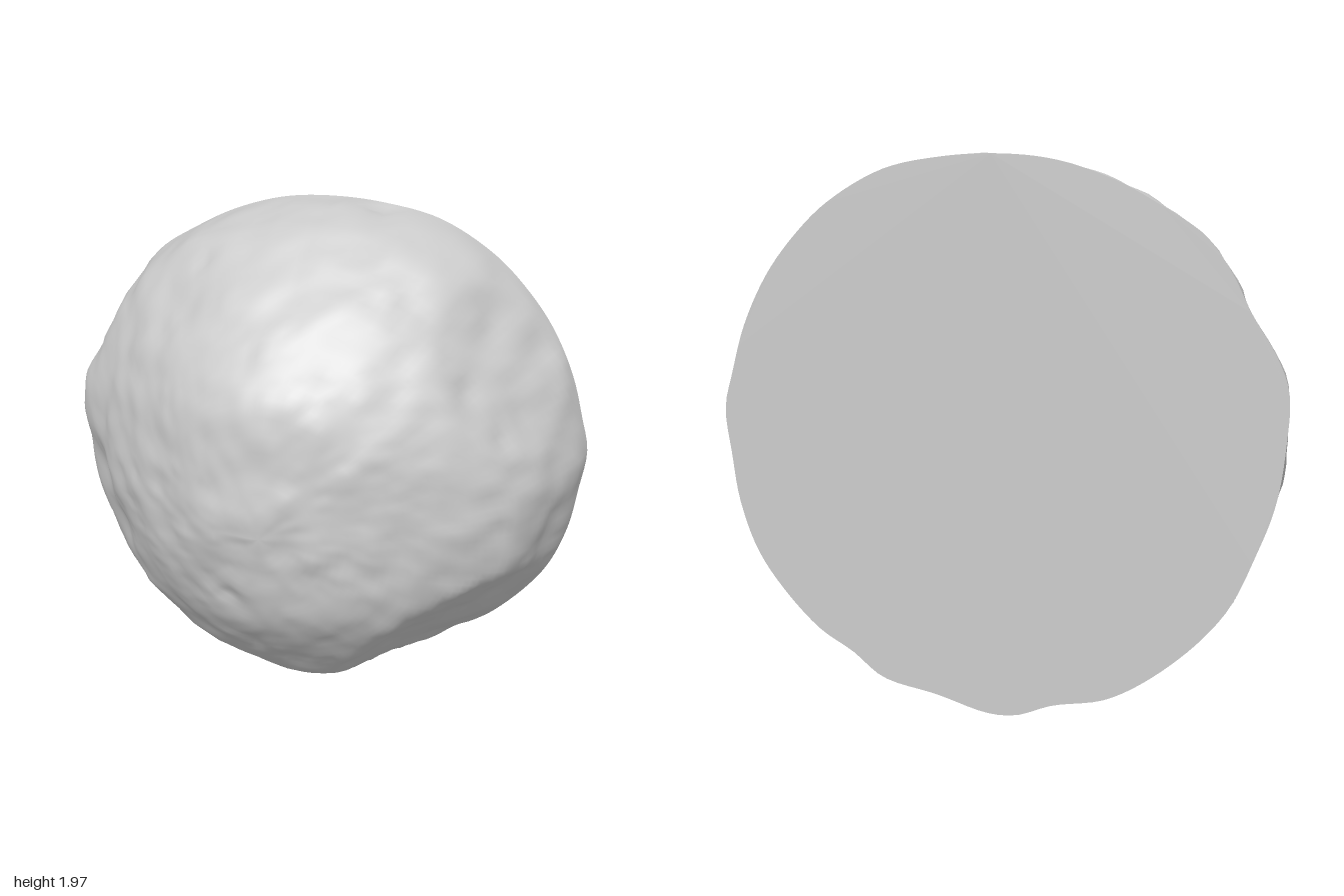
import * as THREE from 'three';

const BACK = -0.445, CY = 0.975; // cut plane and its centre height
const SEG = 160, RINGS = 48;

// outline of the flat cut, counter-clockwise from the model's left
const OUTLINE = [
  [1, 1.07], [0.97, 1.2], [0.92, 1.37], [0.83, 1.55], [0.72, 1.69], [0.6, 1.8], [0.4, 1.91], [0.2, 1.95],
  [0, 1.96], [-0.2, 1.94], [-0.4, 1.875], [-0.56, 1.79], [-0.71, 1.69], [-0.8, 1.57], [-0.87, 1.43],
  [-0.95, 1.3], [-0.995, 1.18], [-0.99, 1], [-0.96, 0.8], [-0.9, 0.63], [-0.8, 0.42], [-0.62, 0.23],
  [-0.4, 0.09], [-0.2, 0.05], [-0.07, 0.005], [0.03, 0.005], [0.22, 0.06], [0.42, 0.11], [0.53, 0.195],
  [0.67, 0.285], [0.87, 0.52], [0.95, 0.72], [0.98, 0.9],
];

// distance from the cut's centre every 15 degrees, rim to apex: +x, up, -x, down
const PROFILES = [
  [1, 0.96, 0.943, 0.89, 0.866, 0.87, 0.876],
  [0.98, 0.985, 0.944, 0.93, 0.935, 0.889, 0.876],
  [1, 0.99, 0.915, 0.876, 0.86, 0.876, 0.876],
  [0.97, 0.945, 0.935, 0.9, 0.897, 0.877, 0.876],
];

// broad worn facets: unit normal, distance
const FACETS = [
  [new THREE.Vector3(0.6, -0.66, 0.45).normalize(), 0.835],
  [new THREE.Vector3(0.75, 0.5, 0.43).normalize(), 0.905],
];

// local swellings and dents: direction, angular size, height
const SPOTS = [
  [-0.93, 0.2, 0.3, 0.16, 0.02], [-0.86, -0.1, 0.4, 0.12, -0.035], [-0.75, -0.28, 0.5, 0.1, -0.025],
  [-0.16, 0.02, 0.87, 0.1, 0.006], [0.08, -0.05, 0.87, 0.06, -0.01], [-0.39, 0.82, 0.36, 0.03, -0.02],
  [0.18, 0.95, 0.06, 0.03, -0.02], [0.66, 0.5, 0.5, 0.045, -0.015], [0.78, 0.3, 0.45, 0.045, -0.015],
  [0.76, -0.02, 0.5, 0.05, -0.015], [-0.22, 0.32, 0.8, 0.04, -0.01], [-0.14, -0.28, 0.8, 0.05, -0.015],
  [-0.1, 0.45, 0.75, 0.3, 0.008], [-0.3, -0.5, 0.7, 0.12, 0.008], [0.2, -0.35, 0.8, 0.12, 0.01],
].map(([x, y, z, size, h]) => [new THREE.Vector3(x, y, z).normalize(), size, h]);

// smooth value noise on a hashed lattice
const hash = (x, y, z) => {
  const s = Math.sin(x * 127.1 + y * 311.7 + z * 74.7) * 43758.5453;
  return (s - Math.floor(s)) * 2 - 1;
};
function noise(x, y, z) {
  const c = [x, y, z].map(Math.floor);
  const f = [x - c[0], y - c[1], z - c[2]].map((t) => t * t * (3 - 2 * t));
  let sum = 0;
  for (let k = 0; k < 8; k++) {
    const b = [k & 1, (k >> 1) & 1, k >> 2];
    const w = b.reduce((p, bit, i) => p * (bit ? f[i] : 1 - f[i]), 1);
    sum += w * hash(c[0] + b[0], c[1] + b[1], c[2] + b[2]);
  }
  return sum;
}

function direction(theta, phi) {
  return new THREE.Vector3(Math.cos(phi) * Math.cos(theta), Math.cos(phi) * Math.sin(theta), Math.sin(phi));
}

// rock radius towards azimuth theta and elevation phi above the cut
function radius(theta, phi) {
  const quarter = (theta / (Math.PI / 2) + 8) % 4;
  const q = Math.floor(quarter), s = (1 - Math.cos((quarter - q) * Math.PI)) / 2;
  const e = phi / (Math.PI / 12), i = Math.min(5, Math.floor(e));
  const t = THREE.MathUtils.smoothstep(e - i, 0, 1) * 0.4 + (e - i) * 0.6;
  const along = (p) => THREE.MathUtils.lerp(p[i], p[i + 1], t);
  let d = THREE.MathUtils.lerp(along(PROFILES[q]), along(PROFILES[(q + 1) % 4]), s);
  const dir = direction(theta, phi);
  for (const [n, dist] of FACETS) {
    const k = n.dot(dir);
    if (k > 0.3) d = Math.min(d, dist / k);
  }
  for (const [n, size, h] of SPOTS) d += h * Math.exp(-((dir.angleTo(n) / size) ** 2));
  const { x, y, z } = dir;
  return d + 0.01 * noise(x * 4 + 9, y * 4, z * 4) + 0.008 * noise(x * 9, y * 11 + 5, z * 9)
    + 0.003 * noise(x * 20, y * 24, z * 20);
}

export function createModel() {
  const group = new THREE.Group();
  const material = new THREE.MeshStandardMaterial({ color: 0xcccccc });
  const curve = new THREE.CatmullRomCurve3(OUTLINE.map(([x, y]) => new THREE.Vector3(x, y - CY, 0)), true);
  const rim = curve.getSpacedPoints(SEG).slice(0, SEG);

  // rocky dome: rings from the rim up to a single apex
  const positions = [], index = [];
  for (let r = 0; r < RINGS; r++) {
    const phi = (r / RINGS) * Math.PI / 2;
    const edge = 1 - THREE.MathUtils.smoothstep(phi, 0, 0.6);
    for (const p of rim) {
      const theta = Math.atan2(p.y, p.x);
      const d = radius(theta, phi) + (p.length() - radius(theta, 0)) * edge;
      const v = direction(theta, phi).multiplyScalar(d);
      positions.push(v.x, v.y + CY, v.z + BACK);
    }
  }
  const apex = RINGS * SEG;
  positions.push(0, CY, BACK + radius(0, Math.PI / 2));
  for (let r = 0; r < RINGS; r++) {
    for (let i = 0; i < SEG; i++) {
      const j = (i + 1) % SEG, a = r * SEG + i, b = r * SEG + j;
      if (r === RINGS - 1) index.push(a, b, apex);
      else index.push(a, b, b + SEG, a, b + SEG, a + SEG);
    }
  }
  const domeGeometry = new THREE.BufferGeometry();
  domeGeometry.setAttribute('position', new THREE.Float32BufferAttribute(positions, 3));
  domeGeometry.setIndex(index);
  domeGeometry.computeVertexNormals();
  const dome = new THREE.Mesh(domeGeometry, material);
  dome.name = 'rockyDome';

  // flat cut face, turned to look backwards
  const shape = new THREE.Shape(rim.map((p) => new THREE.Vector2(-p.x, p.y)));
  const face = new THREE.Mesh(new THREE.ShapeGeometry(shape), material);
  face.name = 'flatBack';
  face.rotation.y = Math.PI;
  face.position.set(0, CY, BACK);

  group.add(dome, face);
  return group;
}
